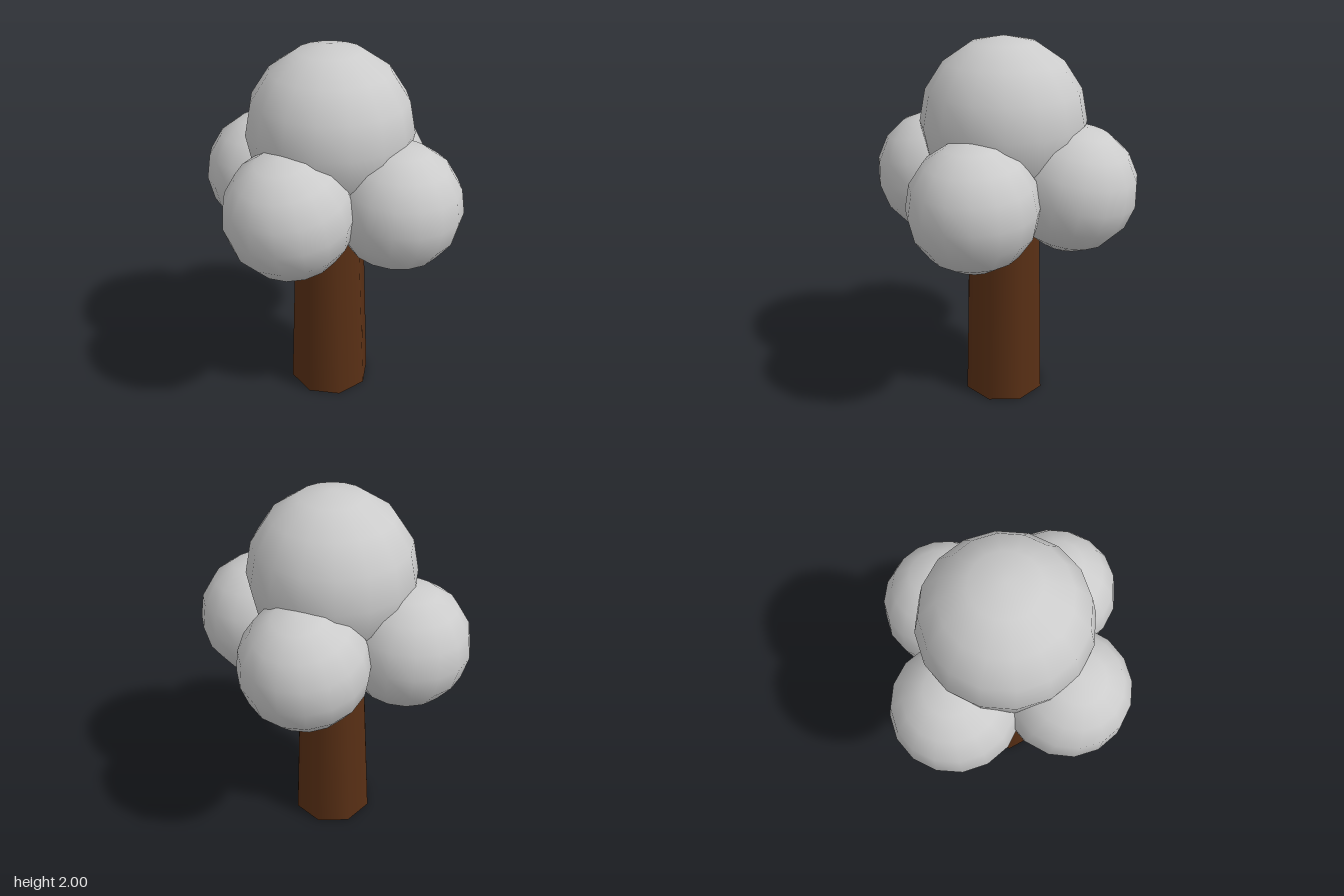
import * as THREE from 'three';

export function createModel() {
  const tree = new THREE.Group();
  tree.name = 'tree';
  const leaf = new THREE.MeshStandardMaterial({ color: 0xcccccc });
  const bark = new THREE.MeshStandardMaterial({ color: 0x5a3015, side: THREE.DoubleSide });

  // Open eight-sided trunk, narrowing more across x than across z
  const height = 1.3;
  const trunkGeometry = new THREE.CylinderGeometry(0.23, 0.23, height, 8, 1, true);
  trunkGeometry.translate(0, height / 2, 0);
  const p = trunkGeometry.attributes.position;
  for (let i = 0; i < p.count; i++) {
    const t = p.getY(i) / height;
    p.setX(i, p.getX(i) * (1 - 0.29 * t));
    p.setZ(i, p.getZ(i) * (1 - 0.14 * t));
  }
  trunkGeometry.computeBoundingSphere();
  const trunk = new THREE.Mesh(trunkGeometry, bark);
  trunk.name = 'trunk';
  tree.add(trunk);

  // Large crown ball on top
  const crown = new THREE.Mesh(new THREE.SphereGeometry(0.43, 16, 8), leaf);
  crown.name = 'topFoliage';
  crown.position.y = 1.57;
  tree.add(crown);

  // Four smaller balls around the trunk, each leaning outwards
  const ball = new THREE.SphereGeometry(0.33, 16, 8);
  ['front', 'left', 'back', 'right'].forEach((side, i) => {
    const along = i % 2 === 0; // front and back lean further
    const branch = new THREE.Group();
    branch.name = side + 'Foliage';
    branch.rotation.y = (i * Math.PI) / 2;
    const mesh = new THREE.Mesh(ball, leaf);
    mesh.name = side + 'FoliageBall';
    mesh.position.set(0, along ? 1.255 : 1.24, along ? 0.383 : 0.4);
    mesh.rotation.x = along ? 0.19 : 0.05;
    branch.add(mesh);
    tree.add(branch);
  });

  return tree;
}
